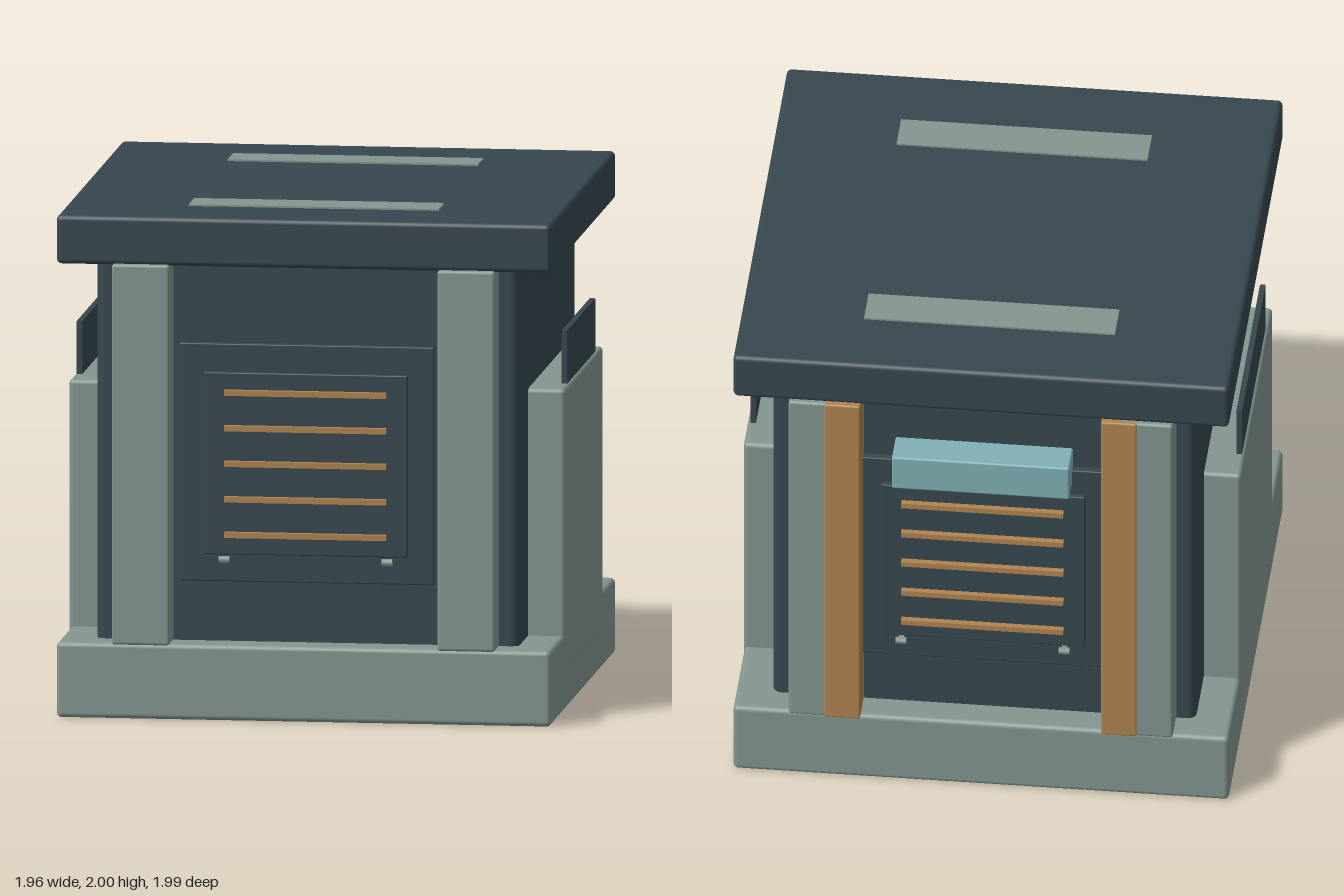
import * as THREE from 'three';
import { RoundedBoxGeometry } from 'three/addons/geometries/RoundedBoxGeometry.js';

const mat = (name, color) => {
  const m = new THREE.MeshStandardMaterial({ color });
  m.name = name;
  return m;
};

export function createModel() {
  const slate = mat('dark slate', 0x37474f);
  const stone = mat('grey stone', 0x84958f);
  const copper = mat('copper', 0xb0844f);
  const glass = mat('pale teal', 0x7fb0b5);
  const model = new THREE.Group();
  model.name = 'ventilationUnit';

  // Box given by its min and max on each axis; r rounds the edges
  const box = (parent, name, material, [x0, x1], [y0, y1], [z0, z1], r = 0) => {
    const size = [x1 - x0, y1 - y0, z1 - z0];
    const geo = r ? new RoundedBoxGeometry(...size, 3, r) : new THREE.BoxGeometry(...size);
    const mesh = new THREE.Mesh(geo, material);
    mesh.name = name;
    mesh.position.set((x0 + x1) / 2, (y0 + y1) / 2, (z0 + z1) / 2);
    parent.add(mesh);
    return mesh;
  };
  // Interval mirrored to the negative side when s is -1
  const side = (s, a, b) => (s > 0 ? [a, b] : [-b, -a]);

  // Main masses
  box(model, 'base', stone, [-0.978, 0.978], [0, 0.3], [-0.978, 0.978], 0.02);
  box(model, 'body', slate, [-0.835, 0.835], [0.25, 1.85], [-0.858, 0.858], 0.035);
  box(model, 'lid', slate, [-0.978, 0.978], [1.8, 1.993], [-0.978, 0.978], 0.02);

  for (const s of [1, -1]) {
    // Strips on the lid
    box(model, 'lidStrip', stone, [-0.495, 0.495], [1.98, 2], side(s, 0.505, 0.67));
    // Side panels with a thin fin standing in each
    box(model, 'sidePanel', stone, side(s, 0.8, 0.982), [0.15, 1.28], [-0.57, 0.57], 0.018);
    box(model, 'sideFin', slate, side(s, 0.948, 0.97), [1.2, 1.49], [-0.425, 0.425]);
  }

  // Front and back faces share the pillars and the louvred hatch
  for (const back of [false, true]) {
    const face = new THREE.Group();
    face.name = back ? 'backFace' : 'frontFace';
    if (back) face.rotation.y = Math.PI;
    model.add(face);

    box(face, 'hatchFrame', slate, [-0.503, 0.503], [0.54, 1.483], [0.84, 0.888], 0.005);
    box(face, 'hatchDoor', slate, [-0.402, 0.402], [0.65, 1.372], [0.86, 0.91], 0.005);
    for (let i = 0; i < 5; i++) {
      const y = 0.73 + i * 0.141;
      box(face, 'louvre', copper, [-0.32, 0.32], [y - 0.011, y + 0.011], [0.9, 0.935]);
    }
    for (const s of [1, -1]) {
      box(face, 'pillar', stone, side(s, 0.53, 0.758), [0.295, 1.805], [0.83, 0.993], 0.012);

      // Small latch under the door
      const latch = new THREE.Mesh(new THREE.CylinderGeometry(0.015, 0.015, 0.042, 10), stone);
      latch.name = 'latch';
      latch.rotation.z = Math.PI / 2;
      latch.position.set(s * 0.322, 0.63, 0.915);
      face.add(latch);
      box(face, 'latchStem', stone, side(s, 0.312, 0.332), [0.62, 0.64], [0.87, 0.915]);

      if (back) box(face, 'copperRail', copper, side(s, 0.475, 0.617), [0.295, 1.805], [0.85, 0.998], 0.008);
    }
    if (back) box(face, 'lightBar', glass, [-0.35, 0.35], [1.42, 1.57], [0.85, 0.997], 0.008);
  }
  return model;
}
